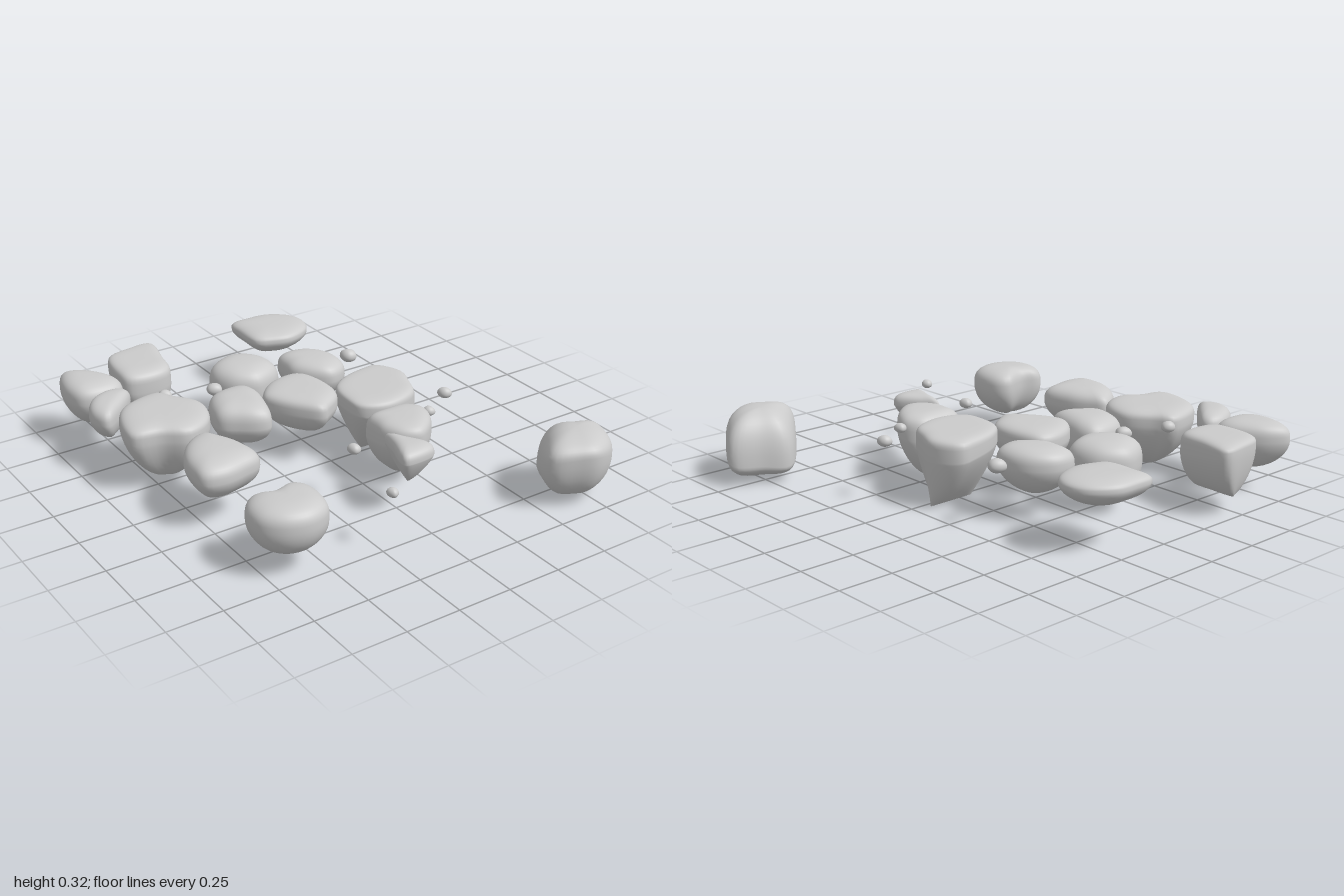
import * as THREE from 'three';
import { mergeVertices } from 'three/addons/utils/BufferGeometryUtils.js';

const TOP = 0.325; // shared top level of the stones
const material = new THREE.MeshStandardMaterial({ color: 0xcccccc });

// Stone lofted from a smooth plan outline [x, z, ...] (clockwise seen from above).
// It closes to a crown above and to a point or keel below its widest line.
function stone(outline, {
  bottom, apex, rim = 0.25, tiltX = 0, tiltZ = 0, keelX = 0, keelZ = 0,
  crown = 0.65, belly = 1.15, top = TOP, segments = 48,
}) {
  const pts = [];
  for (let i = 0; i < outline.length; i += 2) pts.push(new THREE.Vector3(outline[i], 0, outline[i + 1]));
  const ring = new THREE.CatmullRomCurve3(pts, true, 'centripetal').getSpacedPoints(segments).slice(0, segments);
  const mid = ring.reduce((s, p) => s.add(p), new THREE.Vector3()).divideScalar(segments);
  const [ax, az] = apex ?? [mid.x, mid.z];

  const steps = 11;
  const positions = [];
  const index = [];
  for (let j = -steps; j <= steps; j++) {
    const up = j < 0;
    const e = up ? crown : belly;
    const a = (Math.abs(j) / steps) * Math.PI / 2;
    const r = Math.abs(j) === steps ? 0 : Math.cos(a) ** e;
    const h = Math.sin(a) ** e;
    for (const p of ring) {
      const tilted = rim + tiltX * (p.x - mid.x) + tiltZ * (p.z - mid.z);
      const y0 = THREE.MathUtils.clamp(tilted, bottom + 0.02, top - 0.02);
      const cx = up ? mid.x : ax + keelX * (p.x - ax);
      const cz = up ? mid.z : az + keelZ * (p.z - az);
      positions.push(
        cx + (p.x - cx) * r,
        y0 + ((up ? top : bottom) - y0) * h,
        cz + (p.z - cz) * r,
      );
    }
  }
  for (let j = 0; j < 2 * steps; j++) {
    for (let i = 0; i < segments; i++) {
      const a = j * segments + i;
      const b = j * segments + (i + 1) % segments;
      const c = a + segments, d = b + segments;
      if (j > 0) index.push(a, b, c);
      if (j < 2 * steps - 1) index.push(b, d, c);
    }
  }
  let geometry = new THREE.BufferGeometry();
  geometry.setAttribute('position', new THREE.Float32BufferAttribute(positions, 3));
  geometry.setIndex(index);
  geometry = mergeVertices(geometry, 1e-5);
  geometry.computeVertexNormals();
  return new THREE.Mesh(geometry, material);
}

export function createModel() {
  const group = new THREE.Group();
  const add = (name, outline, options) => {
    const mesh = stone(outline, options);
    mesh.name = name;
    group.add(mesh);
  };

  // back row
  add('backCornerStone', [-.86, -.96, -.76, -.91, -.67, -.75, -.69, -.68, -.81, -.66, -.89, -.69, -.92, -.78, -.90, -.90],
    { bottom: 0.1, rim: 0.24 });
  add('backBlockStone', [-.62, -.96, -.50, -.995, -.38, -.995, -.40, -.82, -.43, -.70, -.52, -.67, -.645, -.70, -.66, -.79],
    { bottom: 0.07, apex: [-.5, -.86], keelZ: 0.6, crown: 0.4, tiltZ: -0.15 });
  add('backFlatStone', [.07, -.99, .16, -1, .27, -.99, .37, -.91, .39, -.82, .35, -.74, .23, -.69, .14, -.71, .07, -.75, .06, -.90],
    { bottom: 0.19, rim: 0.28 });

  // middle cluster
  add('sideOvalStone', [-.77, -.66, -.70, -.64, -.69, -.60, -.81, -.47, -.89, -.42, -.925, -.48, -.92, -.55, -.87, -.62],
    { bottom: 0.14 });
  add('largeWedgeStone', [-.60, -.515, -.56, -.45, -.48, -.33, -.49, -.23, -.55, -.14, -.66, -.10, -.76, -.16, -.88, -.20, -.86, -.37, -.79, -.47],
    { bottom: 0.02, apex: [-.68, -.28], crown: 0.45, belly: 1.25 });
  add('middleOvalStone', [-.33, -.395, -.23, -.385, -.20, -.32, -.22, -.185, -.27, -.07, -.32, -.07, -.40, -.12, -.47, -.19, -.42, -.36],
    { bottom: 0.1, rim: 0.22 });
  add('middleRoundStone', [-.14, -.70, -.08, -.69, 0, -.62, .025, -.53, .005, -.45, -.10, -.40, -.15, -.40, -.24, -.46, -.28, -.555, -.26, -.635],
    { bottom: 0.045, rim: 0.21, belly: 1 });
  add('middleWedgeStone', [-.015, -.345, .05, -.32, .09, -.16, .07, -.05, -.02, .02, -.06, .04, -.14, -.04, -.21, -.16, -.22, -.22, -.14, -.31],
    { bottom: 0.12, crown: 0.5 });
  add('middleSmoothStone', [.10, -.57, .19, -.56, .27, -.49, .30, -.40, .28, -.30, .19, -.26, .12, -.30, .05, -.40, .05, -.47, .06, -.545],
    { bottom: 0.11, rim: 0.24 });
  add('largeKeelStone', [.17, -.16, .30, -.195, .38, -.195, .445, -.07, .41, .04, .365, .13, .24, .18, .14, .17, .07, .12, .06, .03, .085, -.09],
    { bottom: 0, apex: [.38, -.03], keelX: 0.6, rim: 0.24, tiltX: -0.1, crown: 0.3, belly: 1.6 });

  // front stones
  add('frontKeelStone', [.05, .20, .14, .185, .27, .195, .32, .265, .30, .34, .23, .42, .16, .455, .085, .42, .04, .34, .04, .265],
    { bottom: 0.02, apex: [.19, .26], rim: 0.22, tiltZ: 0.15, crown: 0.5, belly: 1.25 });
  add('smallTriangleStone', [.02, .38, .06, .44, .13, .57, .11, .605, 0, .62, -.04, .61, -.04, .57, -.01, .48],
    { bottom: 0.15, apex: [.02, .55], rim: 0.27, belly: 1.6 });
  add('sideWedgeStone', [-.61, -.085, -.57, -.03, -.52, .08, -.51, .23, -.60, .265, -.71, .28, -.79, .25, -.80, .16, -.78, .06, -.71, -.04],
    { bottom: 0.11, rim: 0.24 });
  add('frontNotchedStone', [-.725, .49, -.63, .515, -.52, .49, -.475, .53, -.465, .635, -.50, .73, -.60, .77, -.71, .74, -.78, .66, -.78, .555],
    { bottom: 0.08, rim: 0.23, belly: 1 });
  add('frontCornerStone', [.68, .64, .80, .69, .92, .755, .88, .86, .80, .95, .69, .99, .61, .96, .51, .89, .56, .77],
    { bottom: 0.02, rim: 0.165, tiltX: -0.15, tiltZ: 0.5, crown: 0.8, belly: 0.9 });

  // scattered pebbles: x, z, radius
  [[-.555, -.52, .03], [-.34, -.45, .033], [.375, -.41, .037], [.51, .165, .03],
    [.34, .27, .026], [-.135, .375, .028], [-.215, .76, .025]].forEach(([x, z, r], n) => {
    const outline = [];
    for (let k = 0; k < 6; k++) {
      const a = k * Math.PI / 3 + n;
      const s = r * (1 + 0.15 * Math.sin(k * 2.3 + n * 1.7));
      outline.push(x + Math.cos(a) * s, z + Math.sin(a) * s);
    }
    add('pebble' + (n + 1), outline,
      { bottom: 0.272 - r * 0.85, top: 0.272 + r * 0.85, rim: 0.27, crown: 1, belly: 1, segments: 24 });
  });
  return group;
}
